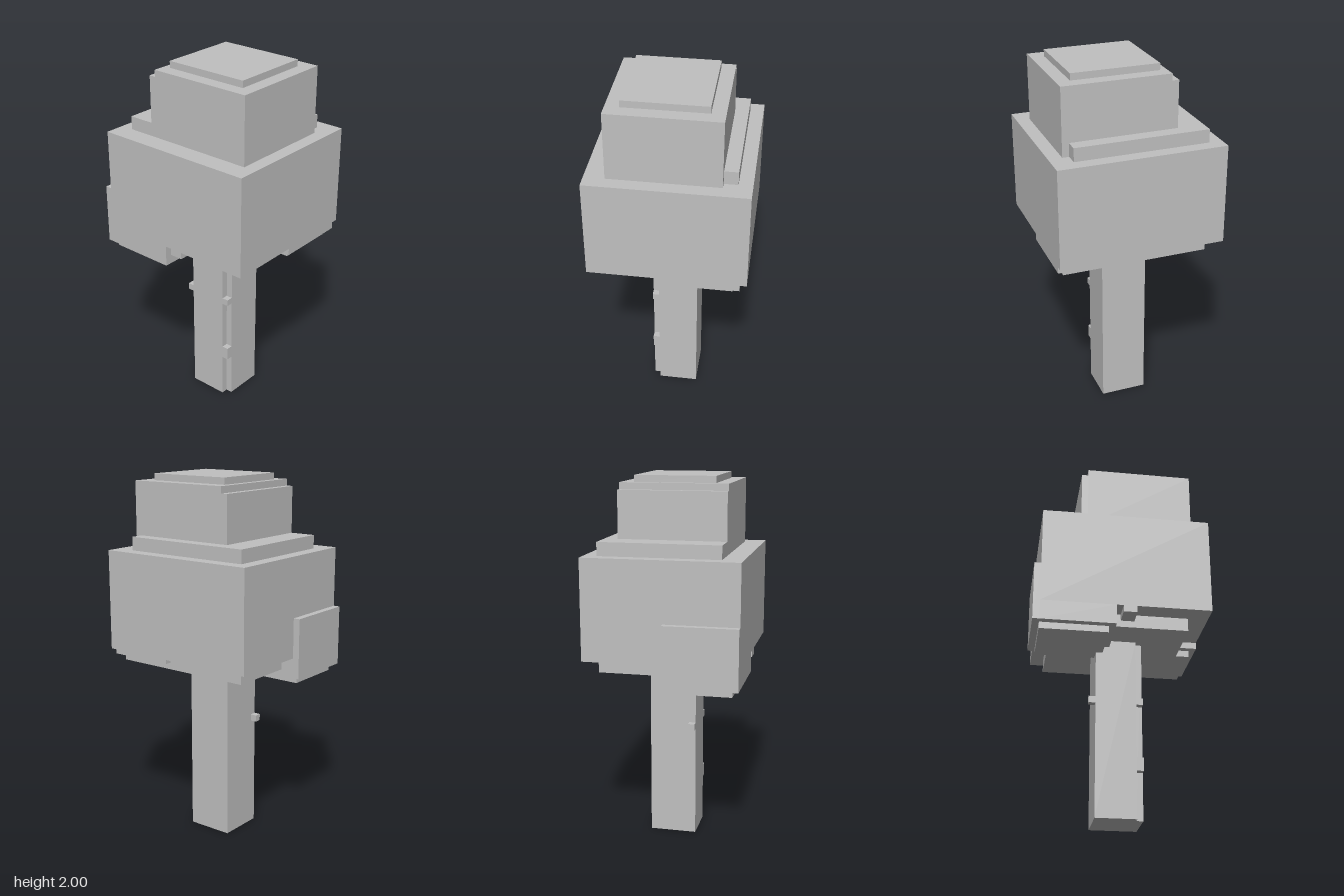
import * as THREE from 'three';

// All sizes are in whole or half blocks; 55 blocks make the full height.
const U = 2 / 55;
const grey = new THREE.MeshStandardMaterial({ color: 0xc0c0c0 });
grey.name = 'plain grey';

export function createModel() {
  const model = new THREE.Group();
  model.name = 'blockTree';

  // Adds a box spanning the given [min, max] ranges.
  function block(name, [x0, x1], [y0, y1], [z0, z1]) {
    const mesh = new THREE.Mesh(
      new THREE.BoxGeometry((x1 - x0) * U, (y1 - y0) * U, (z1 - z0) * U), grey);
    mesh.position.set((x0 + x1) / 2 * U, (y0 + y1) / 2 * U, (z0 + z1) / 2 * U);
    mesh.name = name;
    model.add(mesh);
  }

  // Trunk: a post with one grooved corner, bridged by two knots
  block('trunk', [-3, 3], [0, 27], [-3.5, 3.5]);
  block('trunkSide', [3, 4], [0, 27], [-3.5, 2.5]);
  for (const [y0, y1] of [[7, 9], [17, 18]]) {
    block('trunkKnot', [3, 4], [y0, y1], [2.5, 3.5]);
  }
  block('twig', [-4, -3], [17, 18], [2.5, 3.5]);

  // Underside of the crown
  block('crownUnderside', [-10, 10], [27, 29], [-9.5, 8.5]);
  block('undersideStep', [10, 12], [27, 29], [-9.5, -0.5]);
  block('undersideRim', [3, 13], [28, 29], [-10.5, 0.5]);
  block('frontTab', [0, 2], [28, 29], [8.5, 11.5]);

  // Hanging clump of leaves at the front corner
  block('hangingLeaves', [-12, -1], [26, 29], [0.5, 11.5]);
  block('hangingLeavesBottom', [-12, -2], [25, 26], [1.5, 10.5]);
  block('sideLeaves', [-13, -12], [26, 35], [0.5, 11.5]);

  // Crown tiers
  block('crown', [-12, 13], [29, 44], [-11.5, 11.5]);
  block('crownStep', [-10, 10], [44, 46], [-9.5, 8.5]);
  block('upperCrown', [-5, 11], [44, 54], [-7.5, 8.5]);
  block('upperCrownSide', [-6, -5], [44, 53], [-7.5, 8.5]);
  block('crownCap', [-4, 9], [54, 55], [-5.5, 6.5]);

  return model;
}
